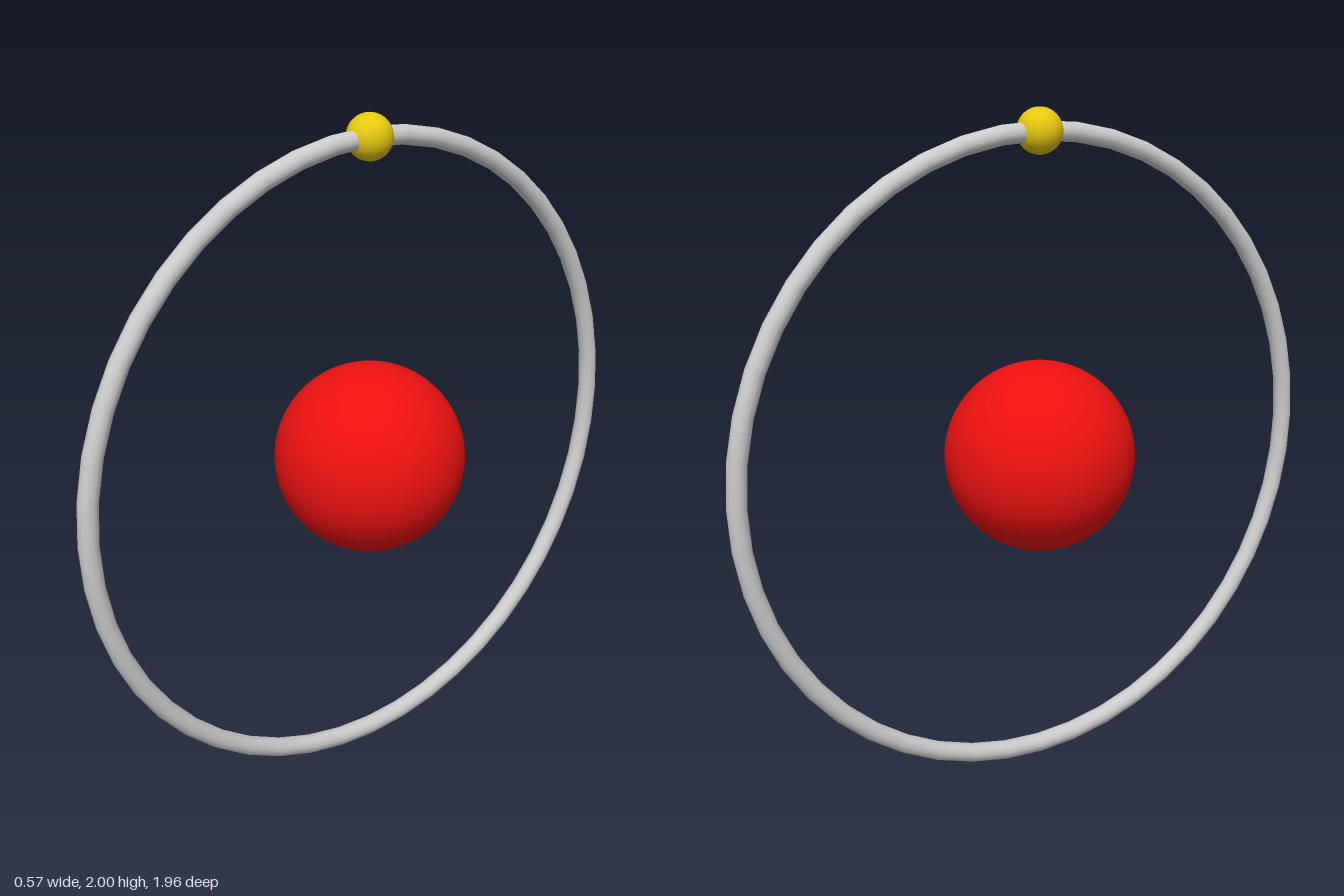
import * as THREE from 'three';

const ORBIT = 0.9524, TUBE = 0.0286, CORE = 0.2857, BALL = 0.0667;
const CENTRE_Y = ORBIT + TUBE;

function addPart(group, name, geometry, color, y) {
  const mesh = new THREE.Mesh(geometry, new THREE.MeshStandardMaterial({ color }));
  mesh.name = name;
  mesh.position.y = y;
  group.add(mesh);
  return mesh;
}

export function createModel() {
  const model = new THREE.Group();
  model.name = 'atom';

  // Central sphere
  addPart(model, 'nucleus', new THREE.SphereGeometry(CORE, 48, 32), 0xee1111, CENTRE_Y);

  // Upright ring in the YZ plane
  const ring = addPart(model, 'orbitRing', new THREE.TorusGeometry(ORBIT, TUBE, 12, 48), 0xcccccc, CENTRE_Y);
  ring.rotation.y = Math.PI / 2;

  // Small ball on top of the ring
  addPart(model, 'electron', new THREE.SphereGeometry(BALL, 32, 24), 0xe6c810, CENTRE_Y + ORBIT);

  return model;
}
